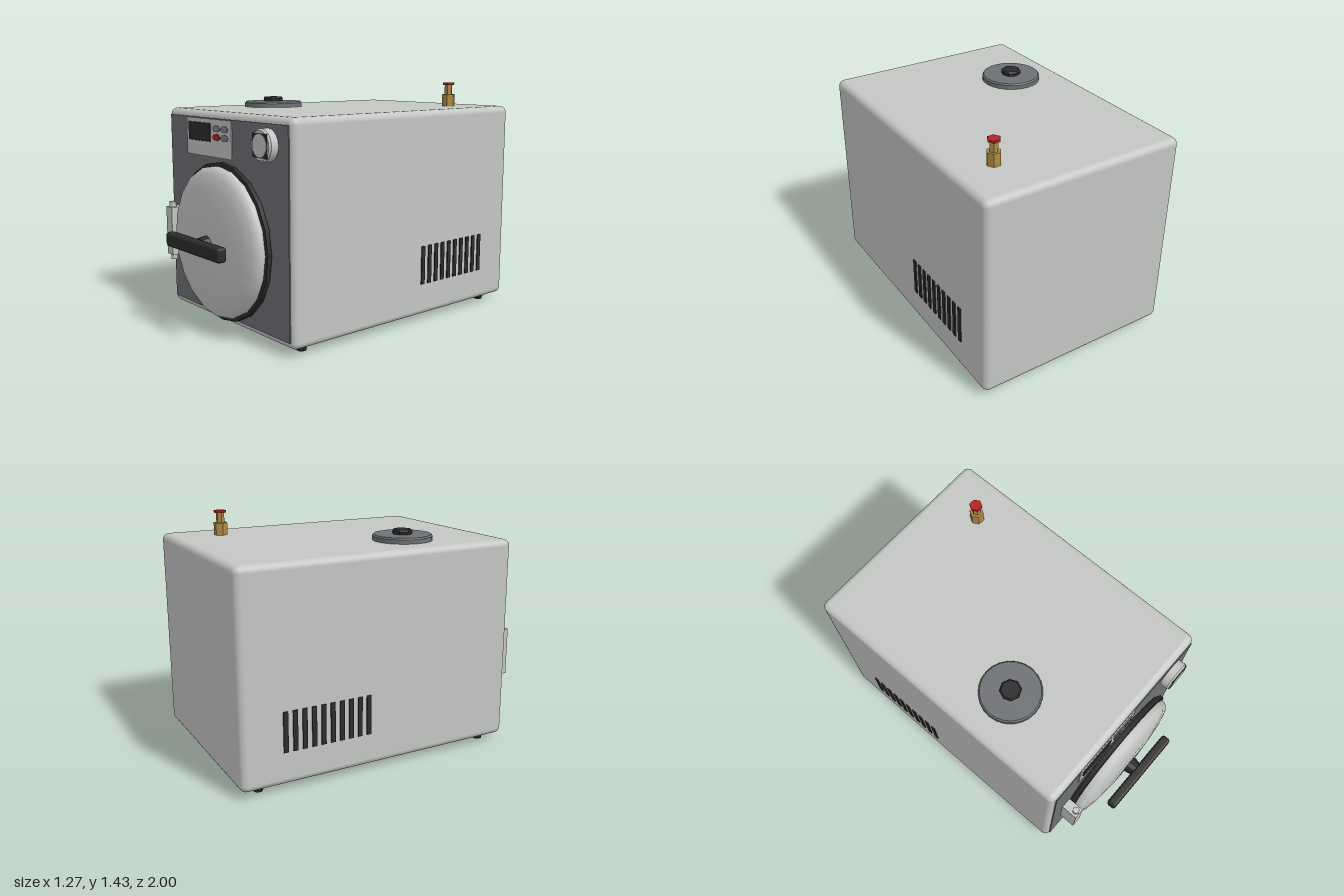
import * as THREE from 'three';
import { RoundedBoxGeometry } from 'three/addons/geometries/RoundedBoxGeometry.js';
import { toCreasedNormals } from 'three/addons/utils/BufferGeometryUtils.js';

function paint(name, color) {
  const m = new THREE.MeshStandardMaterial({ color });
  m.name = name;
  return m;
}

export function createModel() {
  const root = new THREE.Group();
  root.name = 'sterilizer';

  const shell = paint('light grey shell', 0xc4c6c4);
  const slate = paint('slate grey', 0x6e7175);
  const black = paint('black plastic', 0x2c2c2c);
  const brass = paint('brass', 0xb08a45);
  const red = paint('red', 0xb82222);
  const buttonGrey = paint('button grey', 0x85878a);

  const add = (parent, name, geo, mat, x = 0, y = 0, z = 0) => {
    const mesh = new THREE.Mesh(geo, mat);
    mesh.name = name;
    mesh.position.set(x, y, z);
    parent.add(mesh);
    return mesh;
  };
  const group = (name, x = 0, y = 0, z = 0) => {
    const g = new THREE.Group();
    g.name = name;
    g.position.set(x, y, z);
    root.add(g);
    return g;
  };
  const box = (w, h, d) => new THREE.BoxGeometry(w, h, d);
  // Turned part about y from [radius, height] points, bottom to top
  const turned = (pts, sides, crease = 0.6) => toCreasedNormals(
    new THREE.LatheGeometry(pts.map(([r, h]) => new THREE.Vector2(r, h)), sides), crease);
  // The same, with its axis along +z
  const turnedZ = (pts, sides, crease) => turned(pts, sides, crease).rotateX(Math.PI / 2);

  // Cabinet and front panel
  add(root, 'cabinet', new RoundedBoxGeometry(1.26, 1.24, 1.757, 3, 0.04), shell, 0, 0.66, -0.1215);
  add(root, 'frontPanel', box(1.196, 1.16, 0.008), slate, 0, 0.66, 0.758);

  // Feet
  for (const x of [-0.535, 0.535]) for (const z of [0.635, -0.87]) {
    add(root, 'foot', turned([[0, 0], [0.027, 0], [0.031, 0.02], [0.036, 0.022], [0.036, 0.045]], 10),
      black, x, 0, z);
  }

  // Side vents
  for (const side of [-1, 1]) {
    const vents = group(side < 0 ? 'rightVents' : 'leftVents', side * 0.632, 0.353, 0);
    for (let i = 0; i < 10; i++) {
      add(vents, 'ventSlot', box(0.009, 0.235, 0.028), black, 0, 0, -0.222 - i * 0.0573);
    }
  }

  // Door: gasket, domed cover, hub and handle bar
  const door = group('door', 0, 0.535, 0);
  add(door, 'gasket', turnedZ([[0, 0.755], [0.44, 0.76], [0.44, 0.772], [0.463, 0.774],
    [0.463, 0.8], [0.44, 0.802], [0, 0.802]], 20), black);
  add(door, 'doorCover', turnedZ([[0.44, 0.795], [0.443, 0.822], [0.432, 0.842], [0.405, 0.86],
    [0.33, 0.876], [0.2, 0.889], [0, 0.894]], 20, 0.7), shell);
  add(door, 'handleHub', turnedZ([[0, 0.87], [0.055, 0.87], [0.052, 0.91], [0.044, 0.945],
    [0, 0.945]], 10), black);
  add(door, 'handleBar', new RoundedBoxGeometry(0.568, 0.086, 0.06, 2, 0.018), black, 0, 0, 0.97);

  // Hinge
  const hinge = group('hinge', -0.476, 0.535, 0);
  add(hinge, 'hingeBlock', box(0.066, 0.296, 0.105), shell, 0, 0, 0.8125);
  add(hinge, 'hingePin', new THREE.CylinderGeometry(0.021, 0.021, 0.36, 8), shell, 0, 0, 0.838);

  // Control panel with screen and buttons
  const controls = group('controls');
  add(controls, 'controlPlate', box(0.48, 0.22, 0.006), shell, -0.16, 1.125, 0.764);
  add(controls, 'screen', new RoundedBoxGeometry(0.24, 0.108, 0.008, 1, 0.0035), black, -0.255, 1.156, 0.768);
  for (const x of [-0.07, 0.015]) for (const y of [1.182, 1.132]) {
    const isRed = x < 0 && y < 1.15;
    const button = add(controls, isRed ? 'stopButton' : 'button',
      new THREE.CylinderGeometry(0.037, 0.037, 0.009, 10).rotateX(Math.PI / 2),
      isRed ? red : buttonGrey, x, y, 0.768);
    button.scale.y = 0.52;
  }

  // Pressure gauge with dark corner marks around a pale dial
  const gauge = group('gauge', 0.425, 1.127, 0);
  add(gauge, 'gaugeCase', turnedZ([[0.09, 0.755], [0.09, 0.806], [0.08, 0.817], [0, 0.817]], 20), shell);
  add(gauge, 'dialMarks', box(0.13, 0.13, 0.004), black, 0, 0, 0.8175);
  add(gauge, 'dialFace', new THREE.CylinderGeometry(0.063, 0.063, 0.004, 20).rotateX(Math.PI / 2),
    shell, 0, 0, 0.8195);

  // Water filler lid on top
  const lid = group('fillerLid', -0.313, 1.275, 0.185);
  add(lid, 'lidDisc', turned([[0.18, 0], [0.18, 0.03], [0.172, 0.039], [0, 0.039]], 24), slate);
  add(lid, 'lidKnob', turned([[0.058, 0.035], [0.062, 0.058], [0.054, 0.067], [0, 0.067]], 8), black);

  // Safety valve
  const valve = group('safetyValve', 0.385, 1.275, -0.695);
  const hex = (name, r, y0, y1, mat) => add(valve, name,
    new THREE.CylinderGeometry(r, r, y1 - y0, 6).rotateY(Math.PI / 6).toNonIndexed(), mat, 0, (y0 + y1) / 2, 0)
    .geometry.computeVertexNormals();
  hex('valveBase', 0.042, 0, 0.08, brass);
  hex('valveStem', 0.025, 0.08, 0.14, brass);
  hex('valveCap', 0.038, 0.14, 0.154, red);

  return root;
}
